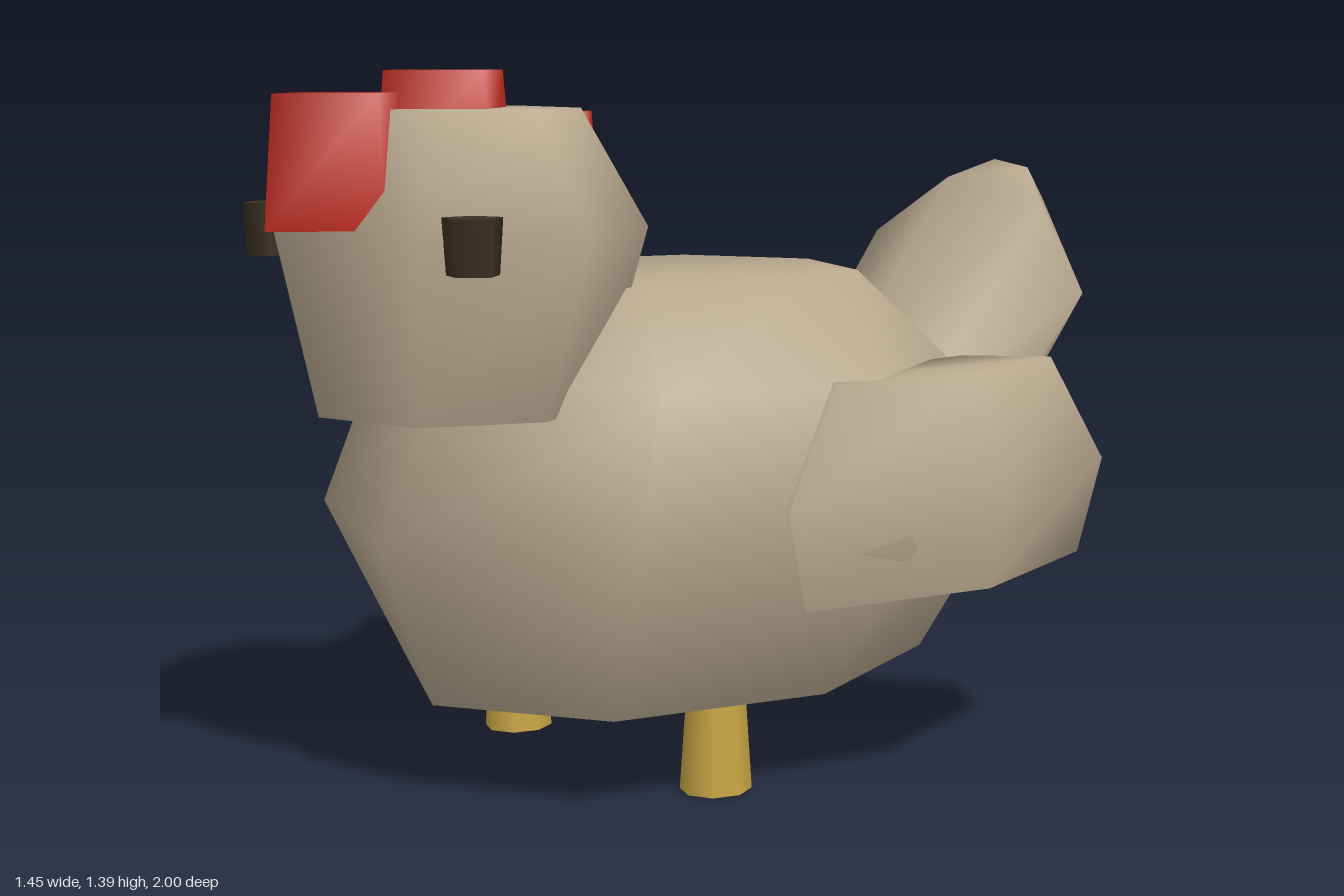
import * as THREE from 'three';

const material = (name, color) => {
  const m = new THREE.MeshStandardMaterial({ color, side: THREE.DoubleSide });
  m.name = name;
  return m;
};

// Skin a stack of equal-length loops, open at the start and closed at the end.
function loft(loops) {
  const n = loops[0].length;
  const points = loops.flat();
  const index = [];
  for (let i = 0; i < loops.length - 1; i++) {
    for (let j = 0; j < n; j++) {
      const a = i * n + j, b = i * n + (j + 1) % n;
      index.push(a, a + n, b, b, a + n, b + n);
    }
  }
  const start = (loops.length - 1) * n;
  const centre = new THREE.Vector3();
  for (const p of loops.at(-1)) centre.addScaledVector(p, 1 / n);
  const c = points.push(centre) - 1;
  for (let j = 0; j < n; j++) index.push(c, start + (j + 1) % n, start + j);
  const g = new THREE.BufferGeometry().setFromPoints(points);
  g.setIndex(index);
  g.computeVertexNormals();
  return g;
}

// Loop of points around an ellipse, placed by a function of (cos, sin).
const loop = (sides, place) => Array.from({ length: sides }, (_, j) => {
  const t = j / sides * Math.PI * 2;
  return place(Math.cos(t), Math.sin(t));
});

// Blunt low-poly ovoid: each ring is [y, radiusX, radiusZ, centreZ].
const ovoid = (sides, cx, rings) => loft(rings.map(([y, rx, rz, cz]) =>
  loop(sides, (c, s) => new THREE.Vector3(cx + rx * c, y, cz + rz * s))));

export function createModel() {
  const model = new THREE.Group();
  model.name = 'hen';
  const feather = material('feather tan', 0xb9a98f);
  const red = material('comb red', 0xbe2c22);
  const yellow = material('leg yellow', 0xc9a544);
  const dark = material('eye brown', 0x3b3023);
  const MID = -0.015; // middle plane of the bird

  const add = (name, geometry, mat, x = 0, y = 0, z = 0) => {
    const mesh = new THREE.Mesh(geometry, mat);
    mesh.name = name;
    mesh.position.set(x, y, z);
    model.add(mesh);
    return mesh;
  };

  // Body, a shell open underneath
  add('body', ovoid(8, MID, [
    [0.19, 0.455, 0.605, 0.045],
    [0.51, 0.685, 0.722, 0.048],
    [0.81, 0.61, 0.56, 0.06],
    [0.985, 0.365, 0.42, 0.05],
  ]), feather);

  // Head
  add('head', ovoid(7, MID, [
    [0.76, 0.27, 0.275, 0.585],
    [1.1, 0.395, 0.345, 0.585],
    [1.32, 0.255, 0.225, 0.58],
  ]), feather);

  // Wings
  for (const [name, x] of [['leftWing', 0.54], ['rightWing', -0.57]]) {
    add(name, ovoid(5, x, [
      [0.41, 0.145, 0.42, -0.15],
      [0.6, 0.19, 0.48, -0.15],
      [0.82, 0.118, 0.33, -0.145],
    ]), feather);
  }

  // Tail: upright rings stepping back and up, [z, centre y, radiusX, radiusY]
  add('tail', loft([
    [-0.5, 0.49, 0.285, 0.217],
    [-0.89, 0.9, 0.322, 0.247],
    [-1.0, 1.1, 0.115, 0.082],
  ].map(([z, cy, rx, ry]) =>
    loop(7, (c, s) => new THREE.Vector3(rx * c, cy + ry * s, z)))), feather);

  // Comb: tapered diamond prisms [name, bottom y, top y, z, length scale]
  for (const [name, y0, y1, z, k] of [
    ['frontComb', 1.11, 1.35, 0.835, 1.18],
    ['middleComb', 1.2, 1.39, 0.6, 1.15],
    ['backComb', 1.11, 1.31, 0.365, 1.03],
  ]) {
    add(name, ovoid(4, MID, [
      [y0, 0.138, 0.138 * k, z],
      [y1, 0.12, 0.12 * k, z],
    ]), red);
  }

  // Eyes and legs
  for (const [side, s] of [['left', 1], ['right', -1]]) {
    add(side + 'Eye', new THREE.CylinderGeometry(0.056, 0.049, 0.1, 5),
      dark, MID + s * 0.312, 1.09, 0.78).rotation.y = s * Math.PI / 2;
    const leg = new THREE.CylinderGeometry(0.048, 0.067, 0.3, 8, 1, true);
    leg.scale(1, 1, 1.1);
    add(side + 'Leg', leg, yellow, MID + s * 0.306, 0.15, 0.195);
  }
  return model;
}
